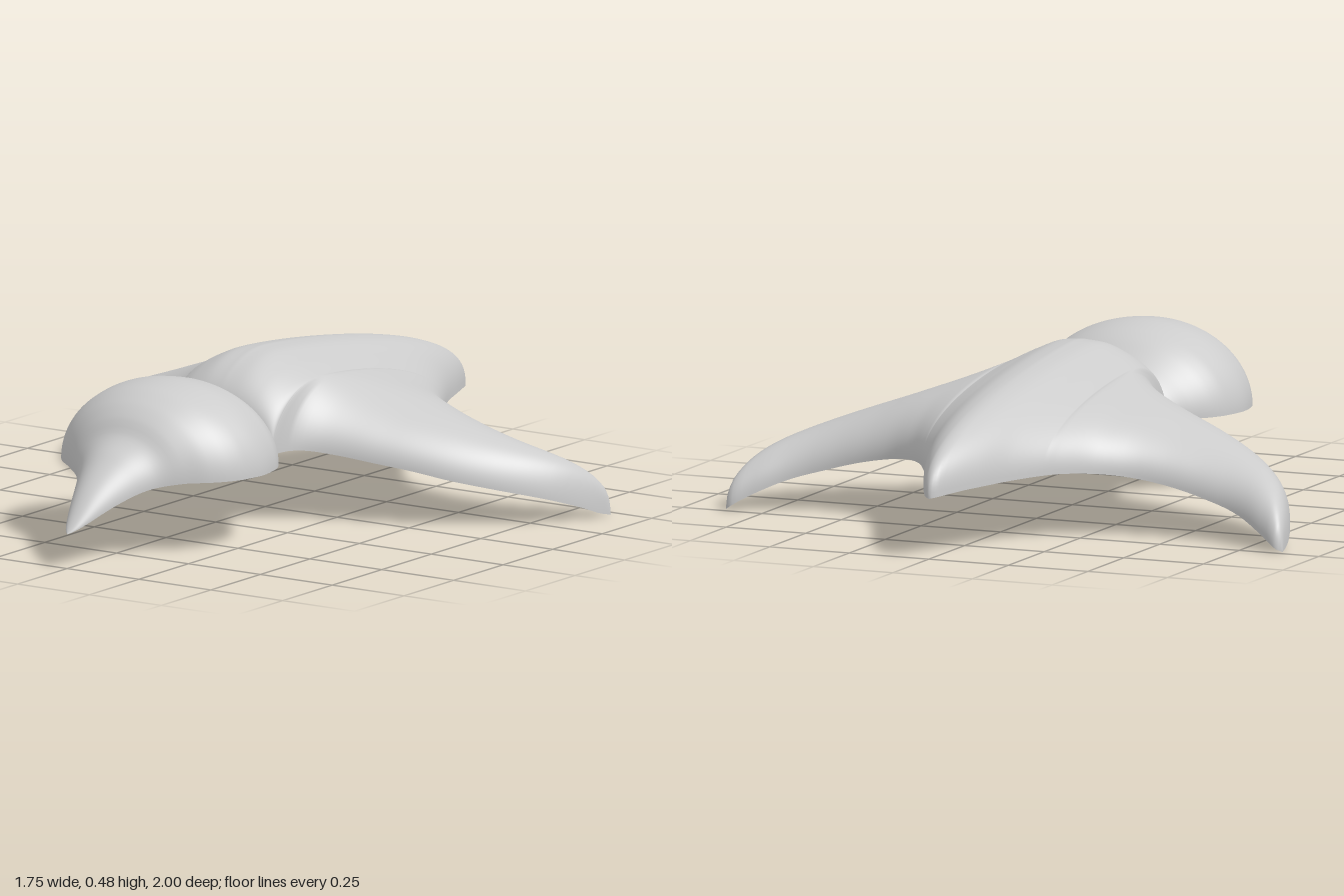
import * as THREE from 'three';

// Smooth monotone interpolation through [x, y] pairs
function curve(points) {
  const n = points.length;
  const d = i => (points[i + 1][1] - points[i][1]) / (points[i + 1][0] - points[i][0]);
  const slope = i => {
    if (i === 0) return d(0);
    if (i === n - 1) return d(n - 2);
    const a = d(i - 1), b = d(i);
    return a * b <= 0 ? 0 : 2 * a * b / (a + b);
  };
  return x => {
    let i = 0;
    while (i < n - 2 && x > points[i + 1][0]) i++;
    const [x0, y0] = points[i], [x1, y1] = points[i + 1];
    const h = x1 - x0, t = THREE.MathUtils.clamp((x - x0) / h, 0, 1);
    const t2 = t * t, t3 = t2 * t;
    return y0 * (2 * t3 - 3 * t2 + 1) + y1 * (3 * t2 - 2 * t3)
      + h * slope(i) * (t3 - 2 * t2 + t) + h * slope(i + 1) * (t3 - t2);
  };
}

// Open smooth shell from a grid of points
function shell(name, rows, cols, pointAt, material) {
  const positions = [], index = [];
  for (let i = 0; i <= rows; i++) {
    for (let j = 0; j <= cols; j++) {
      positions.push(...pointAt(i / rows, j / cols));
      if (i < rows && j < cols) {
        const a = i * (cols + 1) + j, b = a + cols + 1;
        index.push(a, b, a + 1, b, b + 1, a + 1);
      }
    }
  }
  const geometry = new THREE.BufferGeometry();
  geometry.setAttribute('position', new THREE.Float32BufferAttribute(positions, 3));
  geometry.setIndex(index);
  geometry.computeVertexNormals();
  const mesh = new THREE.Mesh(geometry, material);
  mesh.name = name;
  return mesh;
}

const ease = t => (1 - Math.cos(Math.PI * t)) / 2;
const NECK_Z = 0.24, NECK_W = 0.19, NECK_H = 0.125, SPAN = 0.875;

// Wing and tail outline, by distance from the centre line
const leadingZ = curve([[0, NECK_Z], [NECK_W, NECK_Z], [0.2, 0.18], [0.25, 0.12], [0.3, 0.088], [0.4, 0.04],
  [0.5, -0.008], [0.6, -0.065], [0.7, -0.145], [0.8, -0.265], [0.85, -0.37], [0.868, -0.43], [SPAN, -0.475]]);
const trailingZ = curve([[0, -1], [0.015, -0.99], [0.03, -0.965], [0.08, -0.86], [0.13, -0.74], [0.18, -0.645],
  [0.22, -0.58], [0.3, -0.485], [0.4, -0.425], [0.5, -0.402], [0.57, -0.397], [0.64, -0.402], [0.7, -0.417],
  [0.8, -0.465], [0.858, -0.49], [SPAN, -0.475]]);
// Rim heights and crest height
const leadingY = curve([[0, 0.22], [0.2, 0.22], [0.3, 0.205], [0.4, 0.185], [0.5, 0.165], [0.6, 0.138],
  [0.7, 0.11], [0.8, 0.072], [0.85, 0.035], [SPAN, 0]]);
const trailingY = curve([[0, 0.175], [0.08, 0.19], [0.2, 0.197], [0.3, 0.187], [0.4, 0.17], [0.5, 0.148],
  [0.6, 0.12], [0.7, 0.09], [0.8, 0.045], [SPAN, 0]]);
const crestY = curve([[0, 0.477], [0.05, 0.471], [0.12, 0.444], [0.2, 0.404], [0.4, 0.328], [0.6, 0.257],
  [0.7, 0.218], [0.76, 0.19], [0.81, 0.157], [0.85, 0.108], [0.87, 0.055], [SPAN, 0]]);

// One point of the body: u runs across the span, v from leading to trailing edge
function bodyPoint(u, v) {
  const side = u < 0.5 ? -1 : 1;
  const s = Math.abs(2 * u - 1);
  // Half the rows cover the trunk behind the neck, half cover the wing
  const x = s <= 0.5 ? NECK_W * Math.sin(Math.PI * s) : NECK_W + (SPAN - NECK_W) * ease(2 * s - 1);
  const t = ease(v);
  const wing = THREE.MathUtils.smoothstep(x, 0.05, 0.42);
  const mix = (a, b) => THREE.MathUtils.lerp(a, b, wing);
  const peak = mix(0.19, 0.5);
  const rim = THREE.MathUtils.lerp(leadingY(x), trailingY(x), t);
  const rimAtPeak = THREE.MathUtils.lerp(leadingY(x), trailingY(x), peak);
  const height = Math.max(crestY(x) - rimAtPeak, 0);
  let swell;
  if (t < peak) {
    const neck = NECK_H * Math.sqrt(Math.max(0, 1 - (x / NECK_W) ** 2)) / (height || 1);
    swell = neck + (1 - neck) * Math.pow(1 - ((peak - t) / peak) ** 2, mix(0.6, 0.5));
  } else {
    const q = Math.min((t - peak) / (1 - peak), 1);
    swell = Math.pow(1 - Math.pow(q, mix(1.5, 2)), mix(0.4, 0.46));
  }
  return [side * x, rim + height * swell, THREE.MathUtils.lerp(leadingZ(x), trailingZ(x), t)];
}

// Head and beak: half width, rim and crest along z
const headW = curve([[NECK_Z, NECK_W], [0.26, 0.206], [0.3, 0.247], [0.35, 0.288], [0.4, 0.311], [0.48, 0.325],
  [0.55, 0.315], [0.6, 0.295], [0.65, 0.258], [0.7, 0.2], [0.75, 0.14], [0.8, 0.105], [0.85, 0.08],
  [0.9, 0.058], [0.95, 0.035], [0.985, 0.015], [1, 0]]);
const headRim = curve([[NECK_Z, 0.22], [0.68, 0.22], [0.75, 0.208], [0.85, 0.173], [1, 0.1]]);
const headTop = curve([[NECK_Z, 0.345], [0.3, 0.397], [0.35, 0.432], [0.4, 0.452], [0.49, 0.466],
  [0.58, 0.456], [0.65, 0.428], [0.7, 0.387], [0.73, 0.343], [0.8, 0.295], [0.9, 0.212], [1, 0.1]]);

function headPoint(u, v) {
  const z = NECK_Z + (1 - NECK_Z) * u;
  const angle = Math.PI * (1 - v);
  const rim = headRim(z);
  return [headW(z) * Math.cos(angle), rim + (headTop(z) - rim) * Math.sin(angle), z];
}

export function createModel() {
  const group = new THREE.Group();
  group.name = 'birdShell';
  const material = new THREE.MeshStandardMaterial({ color: 0xcccccc, side: THREE.DoubleSide });
  group.add(shell('bodyWingsAndTail', 160, 64, bodyPoint, material));
  group.add(shell('headAndBeak', 80, 80, headPoint, material));
  return group;
}
